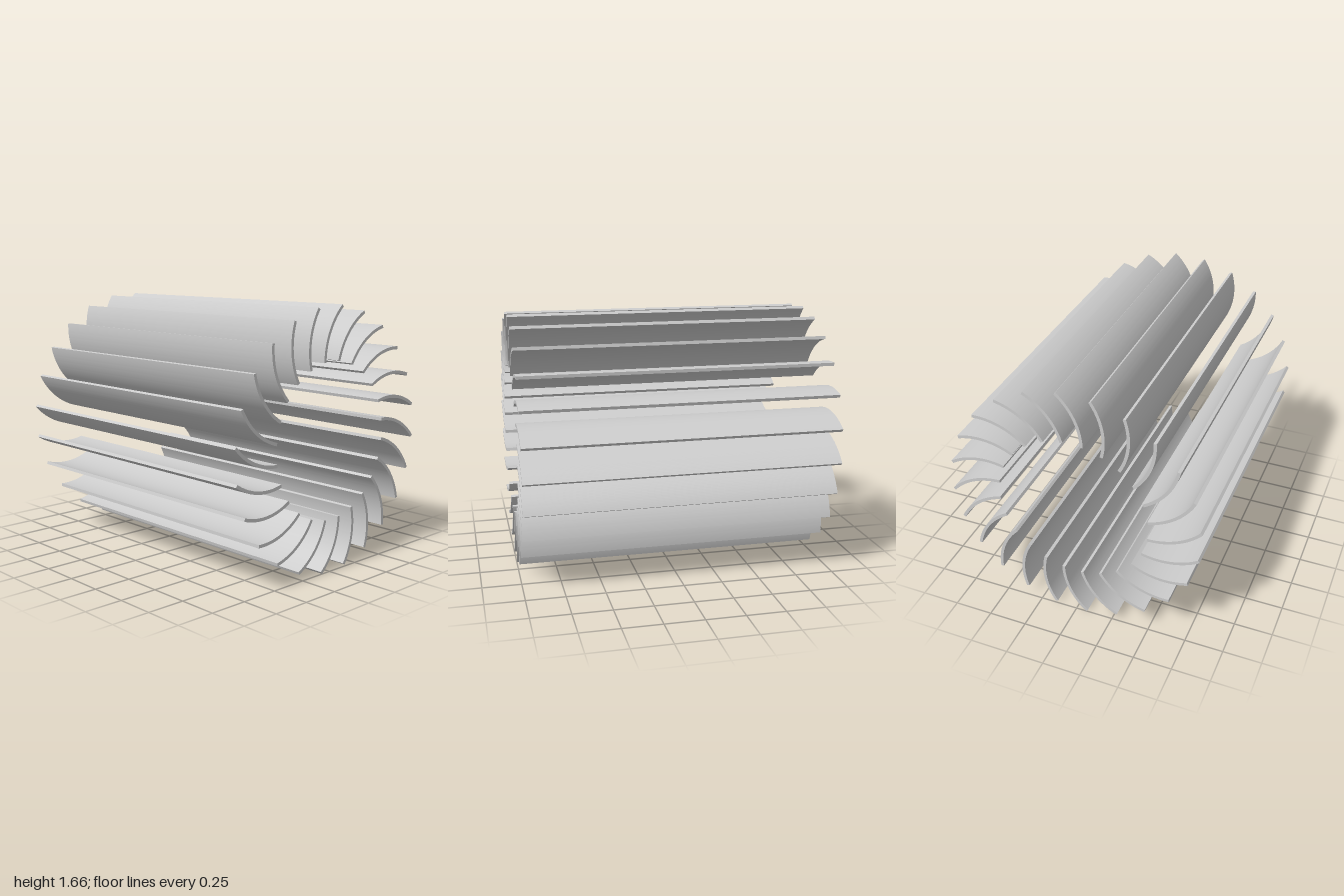
import * as THREE from 'three';
import { toCreasedNormals } from 'three/addons/utils/BufferGeometryUtils.js';

const BLADES = 24;
const LENGTH = 2;
const AXIS_Y = 0.831; // height of the rotor axis
const ARC = { x: 0.487, y: -0.367, radius: 0.445, thickness: 0.02 };
const ARC_START = THREE.MathUtils.degToRad(41); // outer tip
const ARC_END = THREE.MathUtils.degToRad(90);   // inner edge

// One curved blade: a thin circular arc section extruded along z
function bladeGeometry() {
  const { x, y, radius, thickness } = ARC;
  const section = new THREE.Shape();
  section.absarc(x, y, radius + thickness / 2, ARC_START, ARC_END, false);
  section.absarc(x, y, radius - thickness / 2, ARC_END, ARC_START, true);
  section.closePath();
  const geometry = new THREE.ExtrudeGeometry(section, {
    depth: LENGTH, bevelEnabled: false, curveSegments: 20,
  });
  geometry.translate(0, 0, -LENGTH / 2);
  return toCreasedNormals(geometry, Math.PI / 6);
}

export function createModel() {
  const model = new THREE.Group();
  model.name = 'crossFlowRotor';
  const material = new THREE.MeshStandardMaterial({ color: 0xcccccc });
  const geometry = bladeGeometry();

  // Ring of identical blades around the axis
  const ring = new THREE.Group();
  ring.name = 'bladeRing';
  ring.position.y = AXIS_Y;
  for (let i = 0; i < BLADES; i++) {
    const blade = new THREE.Mesh(geometry, material);
    blade.name = `blade${i + 1}`;
    blade.rotation.z = (i / BLADES) * Math.PI * 2;
    ring.add(blade);
  }
  model.add(ring);
  return model;
}
